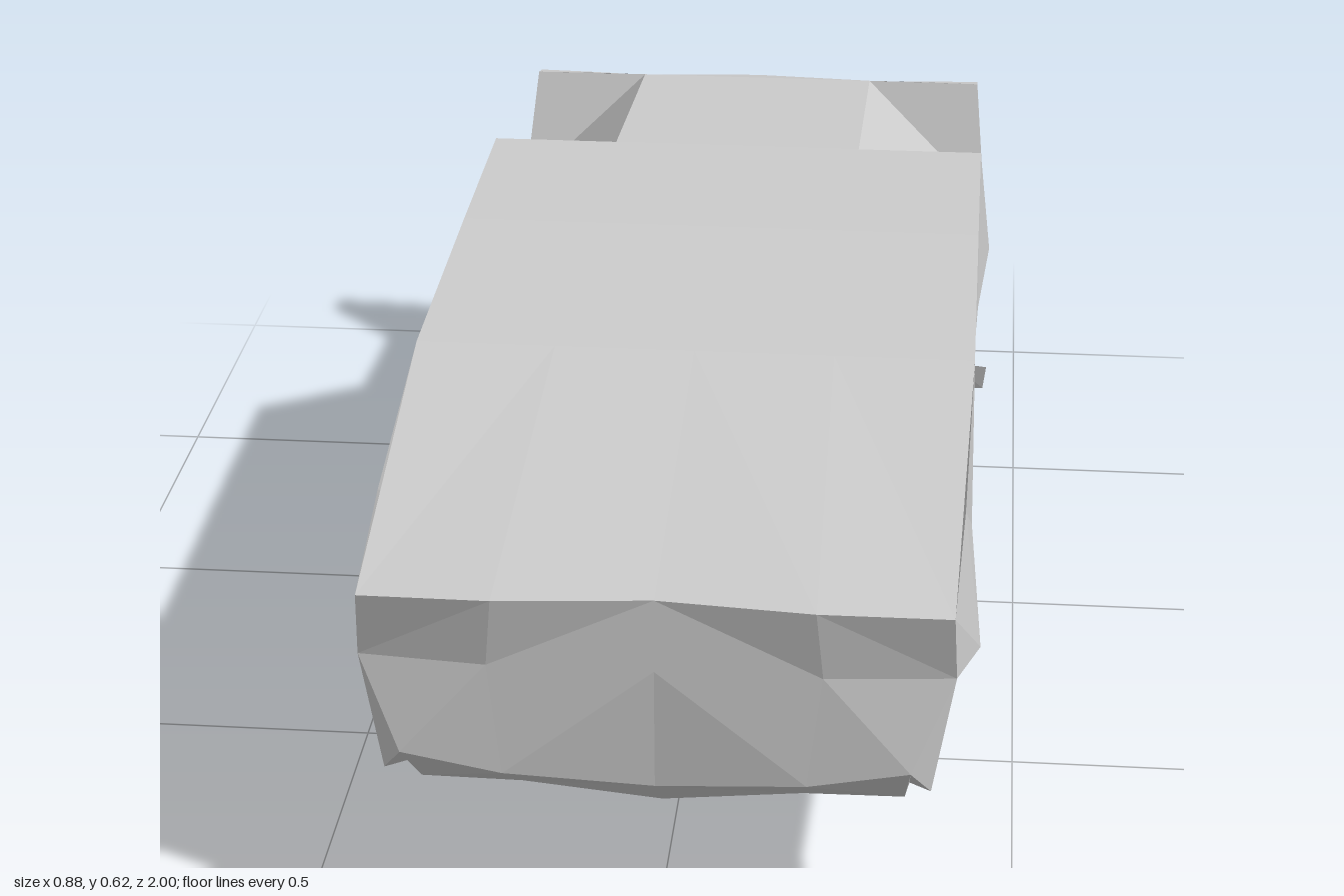
import * as THREE from 'three';

export function createModel() {
  const group = new THREE.Group();
  const grey = new THREE.MeshStandardMaterial({ color: 0xcccccc, flatShading: true, side: THREE.DoubleSide });
  grey.name = 'body grey';

  // Skin a grid of rows of [x, y, z] points on the left half and mirror it to the right
  function panel(name, rows, mirror = true) {
    const pos = [];
    const tri = (a, b, c) => {
      const p = [a, b, c].map((v) => new THREE.Vector3(...v));
      if (new THREE.Triangle(...p).getArea() < 1e-6) return;
      pos.push(...a, ...b, ...c);
      if (mirror) for (const v of [a, c, b]) pos.push(-v[0], v[1], v[2]);
    };
    for (let i = 0; i < rows.length - 1; i++) {
      const a = rows[i], b = rows[i + 1];
      for (let j = 0; j < a.length - 1; j++) {
        tri(a[j], b[j], b[j + 1]);
        tri(a[j], b[j + 1], a[j + 1]);
      }
    }
    const geo = new THREE.BufferGeometry();
    geo.setAttribute('position', new THREE.Float32BufferAttribute(pos, 3));
    geo.computeVertexNormals();
    const mesh = new THREE.Mesh(geo, grey);
    mesh.name = name;
    group.add(mesh);
  }

  // Rows running from the centre line to the edge, in order round the body
  const topRear = [[0, 0.623, -0.46], [0.21, 0.623, -0.46], [0.42, 0.623, -0.46]];
  const topMid = [[0, 0.622, -0.1], [0.21, 0.622, -0.1], [0.42, 0.622, -0.1]];
  const topFront = [[0, 0.616, 0.37], [0.21, 0.616, 0.37], [0.42, 0.616, 0.37]];
  const noseTop = [[0, 0.525, 0.975], [0.22, 0.525, 0.995], [0.405, 0.52, 0.985]];
  const noseMid = [[0, 0.42, 0.985], [0.23, 0.42, 0.985], [0.41, 0.418, 0.965]];
  const noseLow = [[0, 0.238, 0.985], [0.21, 0.257, 1], [0.352, 0.284, 1]];
  const hoodLip = [[0, 0.15, 0.88], [0.2, 0.17, 0.88], [0.343, 0.178, 0.89]];
  const screenBase = [[0, 0.205, 0.72], [0.2, 0.21, 0.72], [0.35, 0.222, 0.71]];
  const screenTop = [[0, 0.048, 0.6], [0.2, 0.048, 0.6], [0.295, 0.09, 0.57]];
  const roofFront = [[0, 0.013, 0.4], [0.2, 0.013, 0.4], [0.305, 0.05, 0.4]];
  const roofMid = [[0, 0, -0.1], [0.2, 0, -0.1], [0.305, 0.025, -0.1]];
  const roofRear = [[0, 0.02, -0.29], [0.2, 0.02, -0.29], [0.3, 0.04, -0.24]];
  const deckFront = [[0, 0.2, -0.5], [0.2, 0.205, -0.5], [0.365, 0.24, -0.43]];
  const deckLip = [[0, 0.158, -0.76], [0.2, 0.163, -0.76], [0.305, 0.2, -0.76]];
  const deckRear = [[0, 0.24, -0.945], [0.2, 0.245, -0.945], [0.255, 0.25, -0.945], [0.31, 0.255, -0.945]];
  const tailLow = [[0, 0.28, -0.965], [0.21, 0.29, -0.955], [0.27, 0.28, -1], [0.4, 0.28, -1]];
  const tailStep = [[0, 0.42, -0.968], [0.21, 0.42, -0.95], [0.31, 0.42, -0.96], [0.408, 0.42, -0.968]];
  const bumperLow = [[0, 0.43, -0.985], [0.21, 0.43, -0.967], [0.31, 0.43, -0.975], [0.41, 0.43, -0.98]];
  const bumperTop = [[0, 0.562, -0.985], [0.21, 0.562, -0.967], [0.31, 0.562, -0.975], [0.41, 0.562, -0.98]];
  const bumperFront = [[0, 0.573, -0.94], [0.21, 0.573, -0.94], [0.31, 0.573, -0.94], [0.41, 0.572, -0.94]];
  const outer = (row) => row.at(-1);

  panel('floor', [topRear, topMid, topFront, noseTop]);
  panel('rearFloor', [bumperFront.slice(0, 2), topRear.slice(0, 2)]);
  panel('nose', [noseTop, noseMid, noseLow]);
  panel('hood', [noseLow, hoodLip, screenBase]);
  panel('windscreen', [screenBase, screenTop]);
  panel('roof', [screenTop, roofFront, roofMid, roofRear]);
  panel('rearScreen', [roofRear, deckFront]);
  panel('rearDeck', [deckFront, deckLip, [deckRear[0], deckRear[1], deckRear[3]]]);
  panel('tail', [deckRear, tailLow, tailStep, bumperLow]);
  panel('rearBumper', [bumperLow, bumperTop, bumperFront]);

  // Body sides: floor edge, shoulder and waist, front to rear
  const edge = [noseTop[2], [0.414, 0.56, 0.75], topFront[2], topMid[2], topRear[2], topRear[2]];
  const shoulder = [noseMid[2], [0.442, 0.345, 0.75], [0.425, 0.34, 0.37], [0.42, 0.41, -0.1],
    [0.425, 0.36, -0.4], [0.442, 0.37, -0.64], [0.43, 0.375, -0.86], outer(tailLow)];
  const waist = [[0.38, 0.24, 0.97], [0.385, 0.235, 0.7], [0.385, 0.24, 0.37], [0.382, 0.245, -0.1],
    [0.38, 0.255, -0.4], [0.345, 0.268, -0.64], [0.325, 0.295, -0.86], outer(tailLow)];
  panel('upperSide', [edge, shoulder.slice(0, 6)]);
  panel('lowerSide', [shoulder, waist]);
  panel('noseCorner', [[noseLow[2], noseMid[2]], [noseLow[2], waist[0]]]);

  // Narrow ledge between the waist and the hood, tapering out along the cabin
  const w = waist;
  const ledge = [[0.35, 0.24, 0.95], [0.355, 0.235, 0.72]];
  panel('hoodLedge', [[w[0], w[0], w[1], w[2]], [noseLow[2], ...ledge, w[2]]]);

  // Hood, cabin and deck sides hanging from the waist
  panel('cabinSide', [
    [ledge[0], ledge[0], ledge[1], ledge[1], w[2], w[3], w[4], w[4], w[5], w[6], w[7]],
    [noseLow, hoodLip, screenBase, screenTop, roofFront, roofMid, roofRear, deckFront, deckLip, deckRear, tailLow]
      .map(outer),
  ]);

  // Sloping cut-outs beside the rear floor, and the quarter behind them
  const heel = shoulder[6];
  panel('rearCutout', [
    [topRear[1], topRear[1], bumperFront[1], bumperFront[1]],
    [topRear[2], shoulder[5], heel, outer(bumperFront)],
  ]);
  panel('rearQuarter', [
    [bumperFront, bumperTop, bumperLow, tailStep, tailLow].map(outer),
    [heel, heel, heel, heel, heel],
  ]);

  // Single thin side mirror
  panel('sideMirror', [
    [[0.38, 0.255, -0.395], [0.443, 0.255, -0.38]],
    [[0.39, 0.206, -0.395], [0.438, 0.215, -0.38]],
  ], false);

  return group;
}
